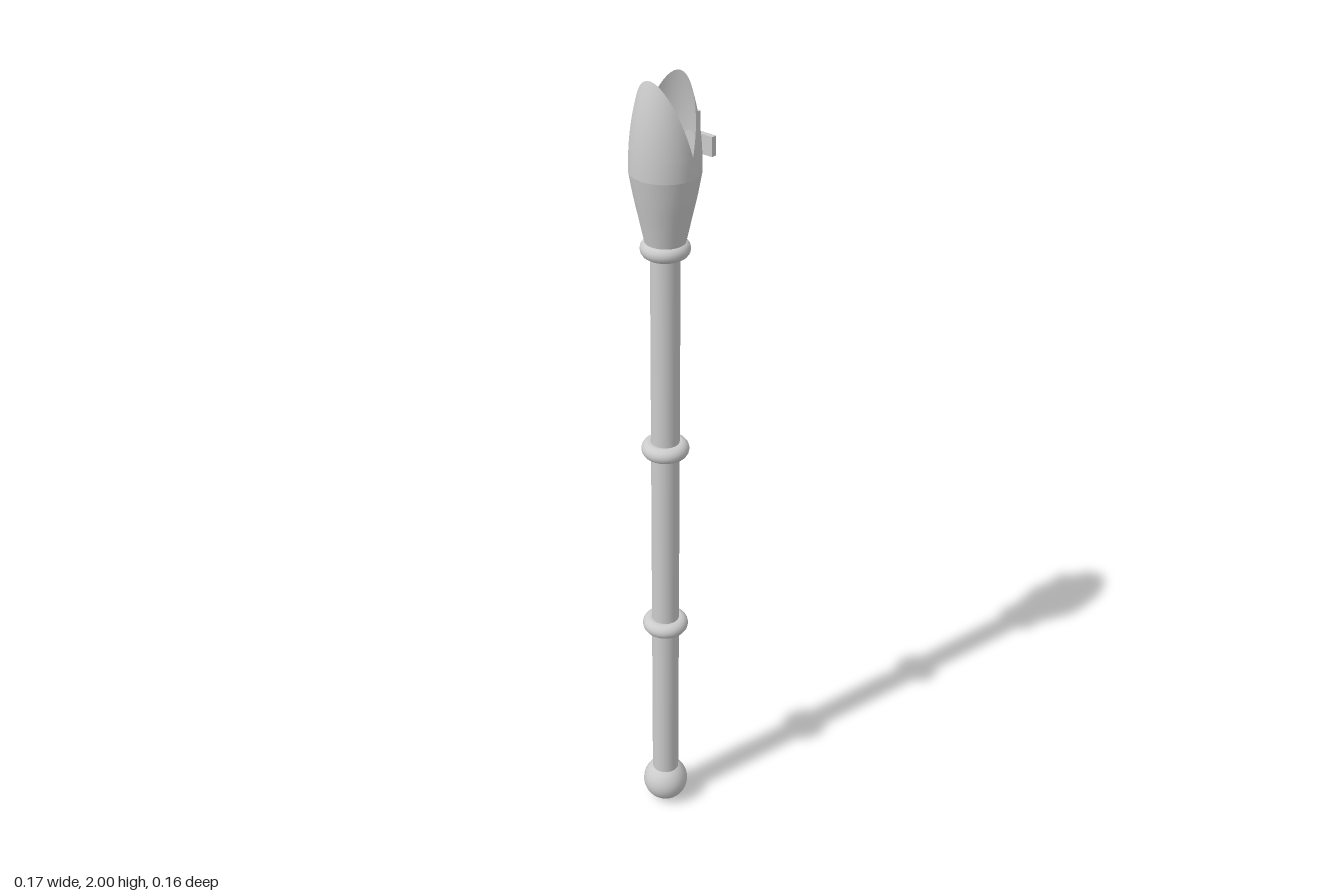
import * as THREE from 'three';
import { ParametricGeometry } from 'three/addons/geometries/ParametricGeometry.js';

const AXIS_X = -0.005;
const material = new THREE.MeshStandardMaterial({ color: 0xcccccc });
const shellMaterial = new THREE.MeshStandardMaterial({ color: 0xcccccc, side: THREE.DoubleSide });

export function createModel() {
  const model = new THREE.Group();
  model.name = 'sceptre';

  const add = (name, geometry, y = 0, mat = material) => {
    const mesh = new THREE.Mesh(geometry, mat);
    mesh.name = name;
    mesh.position.set(AXIS_X, y, 0);
    model.add(mesh);
    return mesh;
  };

  // Pommel and shaft
  add('pommel', new THREE.SphereGeometry(0.058, 32, 24), 0.058);
  add('shaft', new THREE.CylinderGeometry(0.034, 0.034, 1.53, 32), 0.845);

  // Rings along the shaft
  [0.58, 1.095, 1.61].forEach((y, i) => {
    const ring = new THREE.TorusGeometry(0.0375, 0.0195, 16, 40);
    ring.rotateX(Math.PI / 2);
    add(`ring${i + 1}`, ring, y);
  });

  // Flared cup under the petals
  const waist = 1.79, notch = 1.84, top = 2;
  const cup = new THREE.SplineCurve([[0.045, 1.62], [0.058, 1.68], [0.07, 1.735], [0.08, waist]]
    .map(([x, y]) => new THREE.Vector2(x, y)));
  add('headCup', new THREE.LatheGeometry(cup.getPoints(12), 48), 0, shellMaterial);

  // Two petals: a curved shell split by a V-shaped notch
  const tipRadius = 0.048;
  const radiusAt = (y) => {
    const t = (y - waist) / (top - waist);
    return 0.08 - (0.08 - tipRadius) * Math.pow(t, 2.2);
  };
  const petal = (u, v, target) => {
    let y, halfAngle = Math.PI / 2;
    if (v <= 0.25) {
      y = waist + (notch - waist) * v * 4;
    } else {
      const s = (v - 0.25) / 0.75;
      const rise = 1 - (1 - s) ** 2; // closer rows near the rounded tip
      y = notch + (top - notch) * rise;
      halfAngle = Math.acos(Math.min(1, tipRadius * rise / radiusAt(y)));
    }
    const angle = (1 - 2 * u) * halfAngle;
    const r = radiusAt(y);
    target.set(r * Math.cos(angle), y, r * Math.sin(angle));
  };
  ['leftPetal', 'rightPetal'].forEach((name, i) => {
    const geometry = new ParametricGeometry(petal, 32, 40);
    geometry.computeVertexNormals();
    add(name, geometry, 0, shellMaterial).rotation.y = i * Math.PI;
  });

  // Cross on the left side of the head
  const w = 0.021, arm = 0.065, low = 1.735, high = 1.905, armLow = 1.815, armHigh = 1.86;
  const shape = new THREE.Shape([
    [-w, low], [w, low], [w, armLow], [arm, armLow], [arm, armHigh], [w, armHigh],
    [w, high], [-w, high], [-w, armHigh], [-arm, armHigh], [-arm, armLow], [-w, armLow],
  ].map(([x, y]) => new THREE.Vector2(x, y)));
  const cross = new THREE.ExtrudeGeometry(shape, { depth: 0.013, bevelEnabled: false });
  cross.rotateY(Math.PI / 2);
  add('cross', cross).position.x = 0.072;

  return model;
}
